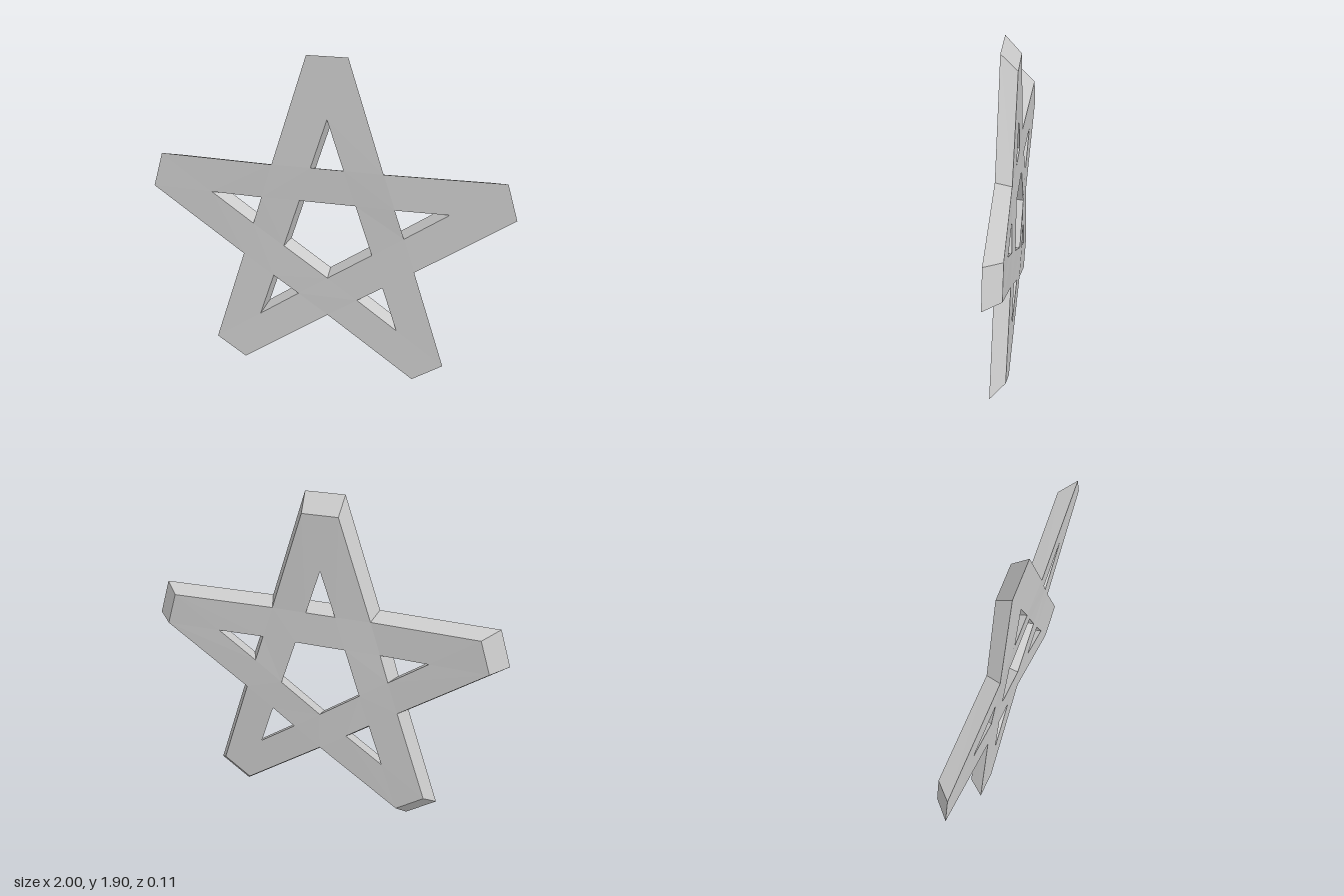
import * as THREE from 'three';

// Star built from five crossing bars, measured from its centre
const CY = 0.886;      // height of the centre
const TIP = 1.016;     // distance to the cut-off tips
const OUTER = 0.415;   // distance to the outer edge of each bar
const INNER = 0.213;   // distance to the inner edge of each bar
const HALF = 0.042;    // half thickness
const BACK = 0.91;     // the back face is a smaller copy of the front

const T18 = Math.tan(Math.PI / 10);
const C36 = Math.cos(Math.PI / 5);
const C72 = Math.cos(Math.PI * 0.4);
const TIP_HALF = (OUTER / C72 - TIP) * T18;
const BASE_HALF = (INNER / C72 - OUTER) * T18;

// Point of arm k: r along the arm, s across it (clockwise from the top)
function armPoint(k, r, s = 0) {
  const a = k * Math.PI * 0.4;
  return new THREE.Vector2(
    r * Math.sin(a) + s * Math.cos(a),
    r * Math.cos(a) - s * Math.sin(a));
}

// Slight forward and backward bend of the bars: tips, notches and centre
const bends = [{ p: new THREE.Vector2(0, 0), z: -0.01 }];
[0, -0.012, 0.01, 0.01, -0.012].forEach((z, k) => bends.push({ p: armPoint(k, TIP), z }));
[0.01, 0, -0.005, 0, 0.01].forEach((z, k) => bends.push({ p: armPoint(k + 0.5, OUTER / C36), z }));

function bendAt(p) {
  let sum = 0, total = 0;
  for (const bend of bends) {
    const w = 1 / (p.distanceTo(bend.p) ** 3 + 1e-4);
    sum += w * bend.z;
    total += w;
  }
  return sum / total;
}

const frontOf = p => [p.x, p.y + CY, HALF + bendAt(p)];
const backOf = p => [p.x * BACK, p.y * BACK + CY, -HALF + bendAt(p)];

function starGeometry() {
  const positions = [];
  // Convex face from corners given counter-clockwise
  const face = corners => {
    for (let i = 1; i < corners.length - 1; i++) {
      positions.push(...corners[0], ...corners[i], ...corners[i + 1]);
    }
  };
  // Front and back panel from corners given clockwise as seen from the front
  const panel = (...points) => {
    face(points.map(backOf));
    face(points.map(frontOf).reverse());
  };
  // Walls along a path with the solid on its right-hand side
  const walls = (...points) => {
    for (let i = 0; i < points.length - 1; i++) {
      const a = points[i], b = points[i + 1];
      face([frontOf(a), frontOf(b), backOf(b), backOf(a)]);
    }
  };

  for (let k = 0; k < 5; k++) {
    const tipL = armPoint(k, TIP, -TIP_HALF), tipR = armPoint(k, TIP, TIP_HALF);
    const notchL = armPoint(k - 0.5, OUTER / C36), notchR = armPoint(k + 0.5, OUTER / C36);
    const apex = armPoint(k, INNER / C72);
    const baseL = armPoint(k, OUTER, -BASE_HALF), baseR = armPoint(k, OUTER, BASE_HALF);
    const coreL = armPoint(k - 0.5, INNER / C36), coreR = armPoint(k + 0.5, INNER / C36);
    const nextBase = armPoint(k + 1, OUTER, -BASE_HALF);

    // Arm end and its two legs
    panel(tipL, tipR, apex);
    panel(tipL, apex, baseL, notchL);
    panel(tipR, notchR, baseR, apex);
    // Bar piece below the triangular opening, and the crossing beside it
    panel(baseL, baseR, coreR, coreL);
    panel(notchR, nextBase, coreR, baseR);
    // Outer edge, triangular opening and central opening
    walls(notchL, tipL, tipR, notchR);
    walls(apex, baseL, baseR, apex);
    walls(coreR, coreL);
  }

  const geometry = new THREE.BufferGeometry();
  geometry.setAttribute('position', new THREE.Float32BufferAttribute(positions, 3));
  geometry.computeVertexNormals();
  return geometry;
}

export function createModel() {
  const group = new THREE.Group();
  group.name = 'openStar';
  const star = new THREE.Mesh(starGeometry(),
    new THREE.MeshStandardMaterial({ color: 0xcccccc, flatShading: true }));
  star.name = 'starBars';
  group.add(star);
  return group;
}
